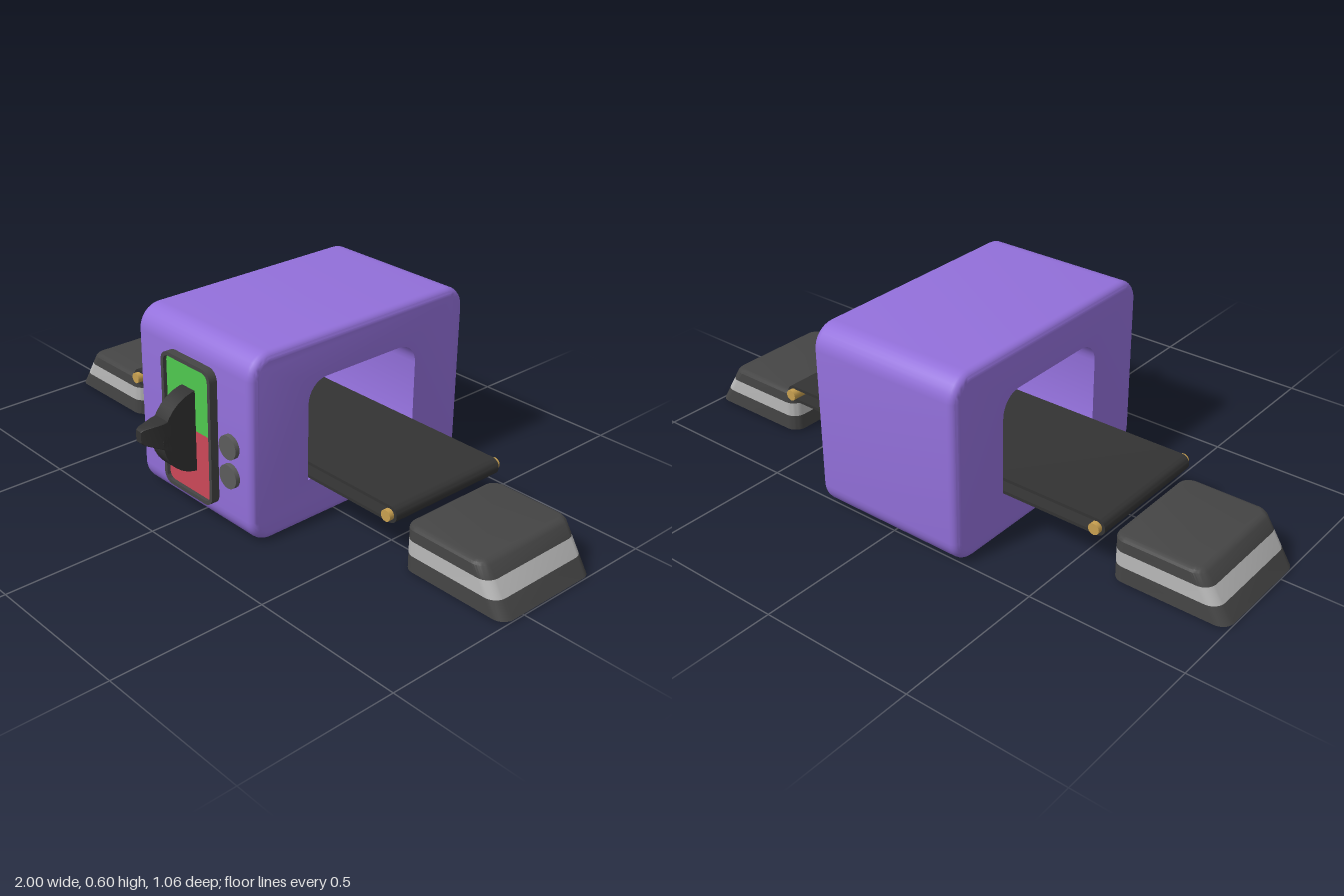
import * as THREE from 'three';
import { toCreasedNormals } from 'three/addons/utils/BufferGeometryUtils.js';

const mat = (color) => new THREE.MeshStandardMaterial({ color });
const purple = mat(0x9370db), dark = mat(0x454545), black = mat(0x333333), silver = mat(0xb8b8b8);
const gold = mat(0xc8a050), green = mat(0x4fc84f), red = mat(0xcc4858), grey = mat(0x5c5c5c);

// Counter-clockwise rounded rectangle with separate radii for its top and bottom corners
function roundRect(x0, x1, y0, y1, rTop, rBottom = rTop, n = 8) {
  const pts = [];
  const corners = [[x1 - rBottom, y0 + rBottom, rBottom, -1], [x1 - rTop, y1 - rTop, rTop, 0],
    [x0 + rTop, y1 - rTop, rTop, 1], [x0 + rBottom, y0 + rBottom, rBottom, 2]];
  for (const [cx, cy, r, q] of corners) {
    for (let i = 0; i <= n; i++) {
      const a = (q + i / n) * Math.PI / 2;
      pts.push(new THREE.Vector2(cx + r * Math.cos(a), cy + r * Math.sin(a)));
    }
  }
  return pts;
}

// Skin over outlines [points, z] in rising z, capped at both ends, with an optional straight through hole
function loft(rings, hole = null) {
  const pos = [];
  const tri = (...v) => v.forEach(([p, z]) => pos.push(p.x, p.y, z));
  const wall = (a, za, b, zb) => a.forEach((p, i) => {
    const j = (i + 1) % a.length;
    tri([p, za], [a[j], za], [b[j], zb]);
    tri([p, za], [b[j], zb], [b[i], zb]);
  });
  for (let i = 0; i + 1 < rings.length; i++) wall(...rings[i], ...rings[i + 1]);
  const [first, z0] = rings[0], [last, z1] = rings[rings.length - 1];
  if (hole) {
    const inner = [...hole].reverse();
    wall(inner, z0, inner, z1);
  }
  const cap = (pts, z, flip) => {
    const all = hole ? [...pts, ...hole] : pts;
    for (const [a, b, c] of THREE.ShapeUtils.triangulateShape(pts, hole ? [hole] : [])) {
      tri([all[a], z], [all[flip ? c : b], z], [all[flip ? b : c], z]);
    }
  };
  cap(first, z0, true);
  cap(last, z1, false);
  const g = new THREE.BufferGeometry();
  g.setAttribute('position', new THREE.Float32BufferAttribute(pos, 3));
  return toCreasedNormals(g, 0.5);
}

function add(parent, name, geometry, material, x = 0, y = 0, z = 0) {
  const mesh = new THREE.Mesh(geometry, material);
  mesh.name = name;
  mesh.position.set(x, y, z);
  parent.add(mesh);
  return mesh;
}

// Housing with softened rims and a sharp-edged tunnel across it
function housing() {
  const half = 0.265, b = 0.025, steps = 5, rings = [];
  for (const side of [-1, 1]) {
    for (let i = 0; i <= steps; i++) {
      const a = (side < 0 ? steps - i : i) / steps * Math.PI / 2;
      const inset = b * (1 - Math.cos(a));
      rings.push([roundRect(-0.335 + inset, 0.53 - inset, inset, 0.6 - inset, 0.075 - inset),
        side * (half - b + b * Math.sin(a))]);
    }
  }
  return loft(rings, roundRect(-0.12, 0.32, 0.145, 0.465, 0.07, 0.004)).rotateY(Math.PI / 2);
}

// Banded end block: straight sides, sloping outer face, softened top
function endBlock() {
  const group = new THREE.Group();
  const outerX = (y) => 1.0 - (y - 0.005) * 0.63;
  const ring = (y, inset = 0) => [roundRect(0.625 + inset, outerX(y) - inset,
    -0.19 + inset, 0.19 - inset, 0.04 - inset), y];
  const band = (name, rings, material) =>
    add(group, name, loft(rings).rotateX(-Math.PI / 2), material);
  band('blockBase', [ring(0.005), ring(0.057)], dark);
  band('blockStripe', [ring(0.057), ring(0.105)], silver);
  band('blockTop', [ring(0.105), ring(0.14), ring(0.147, 0.004), ring(0.151, 0.013)], dark);
  group.position.z = -0.105;
  return group;
}

export function createModel() {
  const model = new THREE.Group();
  model.name = 'conveyorScanner';
  add(model, 'housing', housing(), purple);

  // Conveyor loop and its rollers
  const beltLoop = roundRect(-0.62, 0.62, 0.147, 0.201, 0.027);
  const beltInside = roundRect(-0.61, 0.61, 0.157, 0.191, 0.017);
  add(model, 'belt', loft([[beltLoop, -0.32], [beltLoop, 0.11]], beltInside), black);
  for (const side of [-1, 1]) {
    const roller = new THREE.CylinderGeometry(0.018, 0.018, 0.462, 20).rotateX(Math.PI / 2);
    add(model, 'roller', roller, gold, side * 0.592, 0.174, -0.105);
    const block = endBlock();
    block.name = side > 0 ? 'leftEndBlock' : 'rightEndBlock';
    if (side < 0) block.rotation.y = Math.PI;
    model.add(block);
  }

  // Switch frame and the two colour fields
  const frame = roundRect(-0.115, 0.115, 0.075, 0.515, 0.035);
  const opening = roundRect(-0.103, 0.103, 0.087, 0.503, 0.023);
  add(model, 'switchFrame', loft([[frame, 0.325], [frame, 0.362]], opening), dark);
  const upper = roundRect(-0.103, 0.103, 0.295, 0.503, 0.023, 0.001);
  const lower = roundRect(-0.103, 0.103, 0.087, 0.295, 0.001, 0.023);
  add(model, 'onField', loft([[upper, 0.325], [upper, 0.35]]), green);
  add(model, 'offField', loft([[lower, 0.325], [lower, 0.35]]), red);

  // Lever: half-sunk disc with a tapering handle
  const disc = new THREE.CylinderGeometry(0.132, 0.132, 0.06, 32).rotateZ(Math.PI / 2);
  add(model, 'leverDisc', toCreasedNormals(disc, 0.5), black, 0, 0.295, 0.335);
  const section = (w, y0, y1, z) => [roundRect(-w, w, y0, y1, 0.002, 0.002, 1), z];
  add(model, 'leverHandle', loft([section(0.03, 0.255, 0.361, 0.435), section(0.03, 0.272, 0.357, 0.465),
    section(0.016, 0.3, 0.352, 0.522), section(0.012, 0.31, 0.346, 0.532)]), black);

  // Two round buttons beside the switch
  for (const y of [0.203, 0.298]) {
    const button = new THREE.CylinderGeometry(0.038, 0.038, 0.025, 28).rotateX(Math.PI / 2);
    add(model, 'button', button, grey, 0.174, y, 0.3375);
  }
  return model;
}
